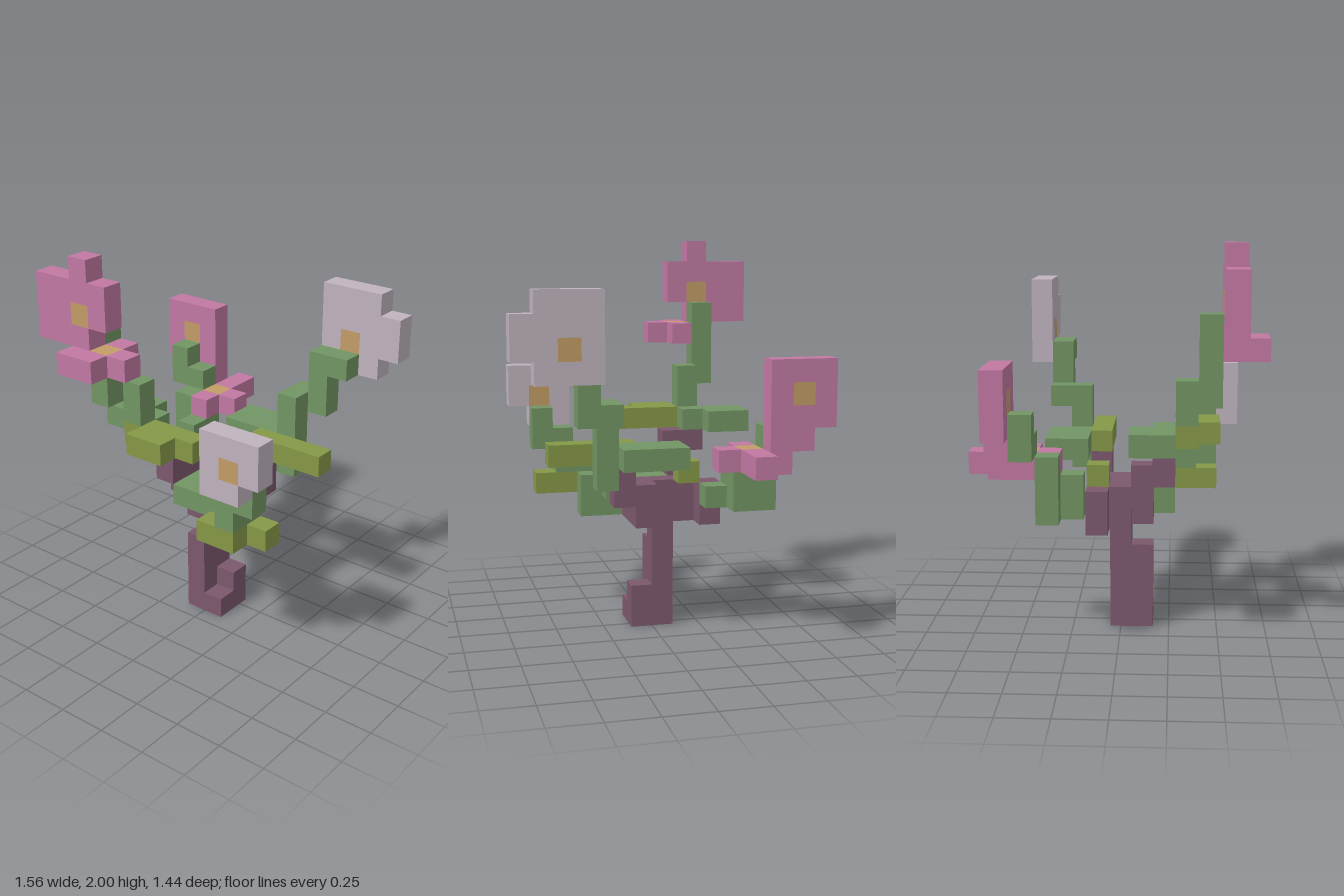
import * as THREE from 'three';

const U = 1 / 9; // size of one cube

export function createModel() {
  const model = new THREE.Group();
  model.name = 'blockyFloweringTree';

  const mat = (name, color) => {
    const m = new THREE.MeshStandardMaterial({ color });
    m.name = name;
    return m;
  };
  const bark = mat('bark', 0x7d586d);
  const leaf = mat('leafGreen', 0x729564);
  const olive = mat('oliveLeaf', 0x859847);
  const pink = mat('pinkPetal', 0xc278a3);
  const pale = mat('palePetal', 0xc0b3be);
  const yellow = mat('flowerCentre', 0xc29c66);

  // Each block is [x0, x1, y0, y1, z0, z1], in whole cubes, ends included;
  // x cells start at their index, z cells are centred on theirs
  const part = (name, material, blocks) => {
    const group = new THREE.Group();
    group.name = name;
    for (const [x0, x1, y0, y1, z0, z1] of blocks) {
      const size = [x1 - x0 + 1, y1 - y0 + 1, z1 - z0 + 1];
      const mesh = new THREE.Mesh(new THREE.BoxGeometry(...size.map((s) => s * U)), material);
      mesh.position.set((x0 + x1 + 1) / 2, (y0 + y1 + 1) / 2, (z0 + z1) / 2).multiplyScalar(U);
      mesh.name = name + 'Block';
      group.add(mesh);
    }
    model.add(group);
  };

  // Trunk and woody limbs
  part('trunk', bark, [
    [-1, -1, 0, 6, 0, 0], [-1, -1, 0, 3, 1, 1], [0, 0, 0, 1, 0, 0], [0, 0, 0, 0, 1, 1],
  ]);
  part('woodyLimb', bark, [
    [-2, -2, 5, 6, 0, 0], [0, 0, 5, 6, 0, 0], [-1, 0, 5, 5, 1, 1],
    [0, 0, 5, 6, -1, -1], [1, 1, 6, 7, -1, -1],
    [-3, -3, 5, 6, -1, -1],
    [-2, -2, 6, 7, 1, 1], [-2, -2, 7, 8, 2, 2], [-3, -3, 8, 8, 2, 2],
  ]);

  // Front branch on the +x side
  part('frontPlusXBranch', leaf, [
    [-1, 1, 6, 6, 1, 2], [1, 1, 5, 5, 2, 2], [2, 2, 5, 6, 2, 2],
    [2, 3, 7, 7, 3, 3], [3, 3, 7, 7, 4, 4], [3, 4, 8, 8, 4, 4], [4, 4, 9, 9, 4, 4],
  ]);
  part('frontPlusXOliveLeaf', olive, [[2, 3, 6, 6, 3, 4], [4, 4, 6, 6, 3, 3]]);

  // Back branch on the +x side
  part('backPlusXBranch', leaf, [
    [2, 2, 7, 10, -2, -2], [-1, 1, 8, 8, -3, -2], [2, 2, 10, 10, -3, -3],
    [3, 3, 10, 12, -3, -3], [4, 4, 12, 12, -3, -3],
  ]);
  part('backPlusXOliveLeaf', olive, [[1, 4, 8, 8, -1, -1]]);

  // Front branch on the -x side
  part('frontMinusXBranch', leaf, [
    [-5, -4, 9, 9, 1, 2], [-3, -3, 9, 9, 2, 2],
    [-3, -3, 10, 11, 3, 3], [-4, -4, 11, 14, 4, 4],
  ]);
  part('frontMinusXOliveLeaf', olive, [[-3, 0, 9, 9, 3, 3], [-2, -1, 9, 9, 4, 4]]);

  // Back branch on the -x side
  part('backMinusXBranch', leaf, [
    [-3, -3, 6, 6, -2, -2], [-4, -4, 6, 7, -3, -2], [-5, -5, 6, 8, -3, -3],
    [-5, -5, 9, 9, -4, -4], [-6, -6, 9, 10, -4, -4],
  ]);
  part('backMinusXOliveLeaf', olive, [[-2, -2, 7, 7, -1, -1]]);

  // Pale upright flowers
  part('frontPaleFlower', pale, [
    [3, 3, 9, 11, 5, 5], [4, 4, 9, 9, 5, 5], [4, 4, 11, 11, 5, 5], [5, 5, 10, 11, 5, 5],
  ]);
  part('backPaleFlower', pale, [
    [3, 3, 12, 15, -4, -4], [4, 4, 12, 12, -4, -4], [4, 4, 14, 15, -4, -4],
    [5, 5, 12, 15, -4, -4], [6, 6, 13, 14, -4, -4],
  ]);

  // Pink upright flowers
  part('frontPinkFlower', pink, [
    [-6, -5, 14, 16, 5, 5], [-4, -4, 14, 14, 5, 5], [-4, -4, 16, 17, 5, 5], [-3, -3, 15, 16, 5, 5],
  ]);
  part('backPinkFlower', pink, [
    [-7, -7, 10, 12, -5, -5], [-6, -6, 9, 10, -5, -5], [-6, -6, 12, 12, -5, -5], [-5, -5, 9, 12, -5, -5],
  ]);

  // Pink flowers lying flat
  part('frontFlatPinkFlower', pink, [
    [-3, -3, 13, 13, 4, 4], [-4, -4, 13, 13, 5, 5], [-2, -2, 13, 13, 5, 5], [-4, -3, 13, 13, 6, 6],
  ]);
  part('backFlatPinkFlower', pink, [
    [-4, -4, 8, 8, -3, -3], [-3, -3, 8, 8, -4, -4], [-4, -4, 8, 8, -6, -5], [-5, -5, 8, 8, -5, -4],
  ]);

  // Yellow centres, one for each flower
  const centres = [[4, 10, 5], [4, 13, -4], [-4, 15, 5], [-6, 11, -5], [-3, 13, 5], [-4, 8, -4]];
  part('flowerCentre', yellow, centres.map(([x, y, z]) => [x, x, y, y, z, z]));

  return model;
}
